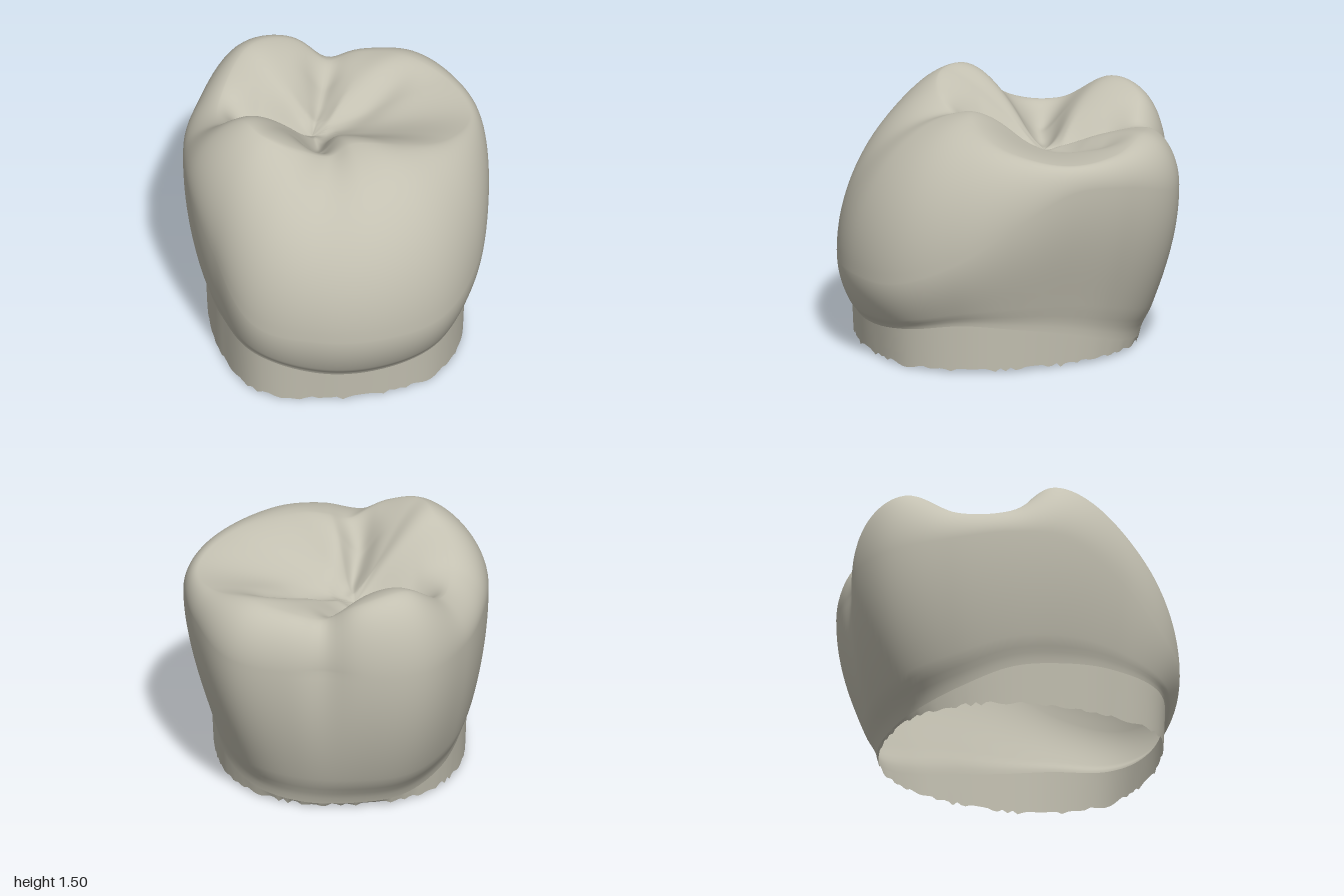
import * as THREE from 'three';

// Sixteen stations around the tooth, from +x towards +z, 22.5 degrees apart
const neckRadius = [.68, .72, .80, .87, .87, .89, .93, .82, .75, .74, .75, .75, .72, .72, .72, .70];
const neckHeight = [.2, .25, .28, .23, .19, .20, .28, .31, .29, .24, .13, .05, .03, .03, .06, .13];
const bulgeRadius = [.873, .875, .925, .985, 1, 1, 1.005, .91, .88, .885, .95, 1.035, .98, .94, .995, .925];
const bulgeHeight = [1.08, .9, .67, .52, .5, .5, .55, .85, 1.03, 1.03, .98, .95, .95, .95, .98, 1.07];
const crestRadius = [.79, .66, .48, .35, .29, .34, .45, .54, .57, .67, .76, .81, .81, .77, .78, .81];
const crestHeight = [1.225, 1.275, 1.34, 1.38, 1.375, 1.335, 1.42, 1.485, 1.47, 1.25, 1.215, 1.38, 1.335, 1.255, 1.285, 1.24];

// Grooves of the chewing surface as [x, z] paths with depth and width
const grooves = [
  { path: [[-.03, -.2], [-.17, .1], [-.17, .4]], depth: .08, width: .08 },
  { path: [[-.08, -.26], [-.38, -.34], [-.65, -.52]], depth: .1, width: .1 },
  { path: [[-.04, -.28], [.06, -.55], [.16, -.85]], depth: .05, width: .1 },
  { path: [[-.02, -.22], [.25, -.3], [.55, -.48]], depth: .04, width: .1 },
];
const pit = new THREE.Vector3(-.08, 1.1, -.24);
const SEGMENTS = 160;
const { lerp, smoothstep, clamp } = THREE.MathUtils;

// Smooth closed interpolation through a station table
function around(table, angle) {
  const n = table.length;
  const u = angle / (Math.PI * 2) * n;
  const i = Math.floor(u), t = u - i;
  const [a, b, c, d] = [-1, 0, 1, 2].map((k) => table[(i + k + n) % n]);
  return b + .5 * t * (c - a + t * (2 * a - 5 * b + 4 * c - d + t * (3 * (b - c) + d - a)));
}

// Strength of the furrow between the two back lobes
function backDent(angle) {
  const d = THREE.MathUtils.radToDeg(angle) - 281;
  return Math.exp(-((d / 9) ** 2));
}

// All control values at one angle
function station(angle) {
  const dent = backDent(angle);
  return {
    r0: around(neckRadius, angle),
    yn: around(neckHeight, angle),
    rb: around(bulgeRadius, angle),
    yb: around(bulgeHeight, angle),
    rc: around(crestRadius, angle),
    yc: around(crestHeight, angle) - .08 * dent,
    dent: .06 * dent,
    // straighter flare on the +x side, straighter shoulder on the -x side
    flarePower: .8 + .5 * Math.max(0, Math.cos(angle)) ** 2,
    shoulderPower: 1 + .4 * Math.max(0, -Math.cos(angle)) ** 2,
  };
}

// Distance from (x, z) to the segment between a and b
function segmentDistance(x, z, [ax, az], [bx, bz]) {
  const dx = bx - ax, dz = bz - az;
  const t = clamp(((x - ax) * dx + (z - az) * dz) / (dx * dx + dz * dz), 0, 1);
  return Math.hypot(x - ax - t * dx, z - az - t * dz);
}

function grooveDepth(x, z) {
  return Math.max(...grooves.map(({ path, depth, width }) => {
    const d = Math.min(segmentDistance(x, z, path[0], path[1]), segmentDistance(x, z, path[1], path[2]));
    return depth * Math.exp(-((d / width) ** 2));
  }));
}

const polar = (r, y, a) => new THREE.Vector3(r * Math.cos(a), y, r * Math.sin(a));

// Closed rings stacked into a skin; point(angle, v) gives the position
function skin(name, rows, point, material) {
  const positions = [], index = [];
  for (let j = 0; j <= rows; j++) {
    for (let i = 0; i < SEGMENTS; i++) {
      positions.push(...point(i / SEGMENTS * Math.PI * 2, j / rows, i).toArray());
      if (j === rows) continue;
      const a = j * SEGMENTS + i, b = j * SEGMENTS + (i + 1) % SEGMENTS;
      index.push(a, a + SEGMENTS, b, b, a + SEGMENTS, b + SEGMENTS);
    }
  }
  const geometry = new THREE.BufferGeometry();
  geometry.setAttribute('position', new THREE.Float32BufferAttribute(positions, 3));
  geometry.setIndex(index);
  geometry.computeVertexNormals();
  const mesh = new THREE.Mesh(geometry, material);
  mesh.name = name;
  return mesh;
}

// Neck below the crown, with a slightly ragged open lower edge
function neckPoint(angle, v, i) {
  const s = station(angle);
  const ragged = .025 * Math.abs(Math.sin(i * i * 1.7));
  return polar(s.r0 + .01 * v, lerp(ragged, s.yn, v), angle);
}

// Crown: flare to the bulge, round over to the crest, then sink to the pit
function crownPoint(angle, v) {
  const s = station(angle);
  const rn = s.r0 + .01;
  if (v <= .3) {
    const t = v / .3;
    const flare = Math.sin(t * Math.PI / 2) ** s.flarePower * smoothstep(t, -.08, .18);
    return polar(lerp(rn, s.rb, flare) - s.dent * t * t, lerp(s.yn, s.yb, t), angle);
  }
  if (v <= .6) {
    const q = (v - .3) / .3 * Math.PI / 2;
    const shoulder = Math.max(0, Math.cos(q)) ** s.shoulderPower;
    return polar(lerp(s.rc, s.rb, shoulder) - s.dent, lerp(s.yb, s.yc, Math.sin(q)), angle);
  }
  const t = (v - .6) / .4;
  const p = polar(s.rc - s.dent, s.yc, angle).lerp(pit, t);
  const sink = .5 * t ** 1.4 + .5 * smoothstep(t, 0, 1);
  p.y = lerp(s.yc, pit.y, sink) - grooveDepth(p.x, p.z) * smoothstep(t, 0, .35) * (1 - .6 * smoothstep(t, .6, 1));
  return p;
}

export function createModel() {
  const group = new THREE.Group();
  group.name = 'molarTooth';
  const material = new THREE.MeshStandardMaterial({ color: 0xc3c0b1, side: THREE.DoubleSide });
  group.add(
    skin('neck', 6, neckPoint, material),
    skin('crown', 80, crownPoint, material),
  );
  return group;
}
